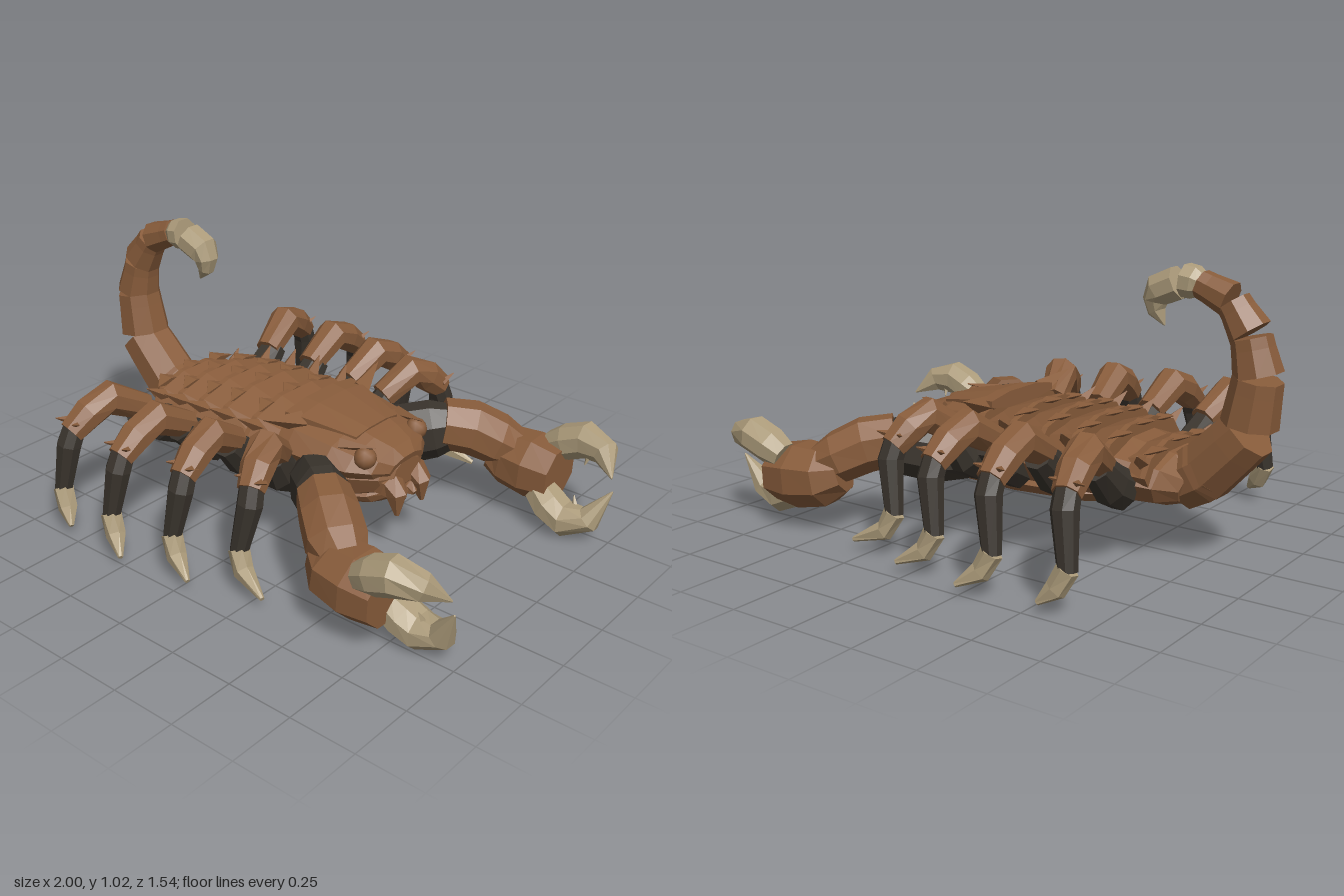
import * as THREE from 'three';

const X = new THREE.Vector3(1, 0, 0), Y = new THREE.Vector3(0, 1, 0), Z = new THREE.Vector3(0, 0, 1);

export function createModel() {
  const model = new THREE.Group();
  model.name = 'scorpion';
  const paint = (name, color) => {
    const m = new THREE.MeshStandardMaterial({ color });
    m.name = name;
    return m;
  };
  const brown = paint('brownShell', 0x885c3b);
  const dark = paint('darkJoint', 0x3a342d);
  const bone = paint('boneClaw', 0xad9c7b);

  // Faceted loft through points [x, y, z, half size along ref, other half size]
  function loft(name, mat, pts, ref, sides = 8, phase = Math.PI / sides) {
    const P = pts.map(p => new THREE.Vector3(p[0], p[1], p[2]));
    const pos = [], idx = [], n = P.length, grow = 1 / Math.cos(phase);
    P.forEach((p, i) => {
      const t = P[Math.min(i + 1, n - 1)].clone().sub(P[Math.max(i - 1, 0)]).normalize();
      const u = ref.clone().addScaledVector(t, -t.dot(ref)).normalize();
      const v = t.clone().cross(u);
      const a = pts[i][3] * grow, b = (pts[i][4] ?? pts[i][3]) * grow;
      for (let j = 0; j < sides; j++) {
        const th = phase + (j / sides) * Math.PI * 2;
        const q = p.clone().addScaledVector(u, a * Math.cos(th)).addScaledVector(v, b * Math.sin(th));
        pos.push(q.x, q.y, q.z);
      }
    });
    for (let i = 0; i < n - 1; i++) {
      for (let j = 0; j < sides; j++) {
        const k = (j + 1) % sides, a = i * sides + j, b = i * sides + k;
        idx.push(a, b, b + sides, a, b + sides, a + sides);
      }
    }
    for (let j = 1; j < sides - 1; j++) {
      const e = (n - 1) * sides;
      idx.push(0, j + 1, j, e, e + j, e + j + 1);
    }
    let g = new THREE.BufferGeometry();
    g.setAttribute('position', new THREE.Float32BufferAttribute(pos, 3));
    g.setIndex(idx);
    g = g.toNonIndexed();
    g.computeVertexNormals();
    const mesh = new THREE.Mesh(g, mat);
    mesh.name = name;
    model.add(mesh);
  }
  // Four-sided thorn, r along ref and r2 across
  const spike = (name, mat, base, tip, ref, r, r2 = r) =>
    loft(name, mat, [[...base, r, r2], [...tip, 0.002]], ref, 4, 0);
  const lerp = THREE.MathUtils.lerp;

  // Trunk and belly
  loft('body', brown, [
    [-0.7, 0.27, 0, 0.12, 0.07], [-0.64, 0.29, 0, 0.20, 0.10], [-0.45, 0.31, 0, 0.255, 0.125],
    [-0.1, 0.315, 0, 0.262, 0.13], [0.15, 0.315, 0, 0.245, 0.13], [0.32, 0.32, 0, 0.19, 0.12],
    [0.41, 0.32, 0, 0.13, 0.085], [0.44, 0.32, 0, 0.08, 0.05],
  ], Z, 10, 0);
  loft('belly', brown, [
    [-0.52, 0.22, 0, 0.08, 0.03], [-0.35, 0.215, 0, 0.18, 0.06], [-0.05, 0.213, 0, 0.21, 0.068],
    [0.2, 0.213, 0, 0.19, 0.065], [0.35, 0.23, 0, 0.12, 0.05], [0.43, 0.26, 0, 0.05, 0.03],
  ], Z, 10, 0);

  // Tilted back plates [rear x, half width, top] with a toothed rear edge
  const plates = [[-0.63, 0.225, 0.43], [-0.49, 0.265, 0.465], [-0.365, 0.28, 0.48],
    [-0.24, 0.28, 0.488], [-0.1, 0.275, 0.488]];
  for (const [x, w, top] of plates) {
    const cy = top - 0.1;
    loft('backPlate', brown, [[x, cy, 0, w, 0.105], [x + 0.02, cy, 0, w, 0.105],
      [x + 0.17, cy - 0.005, 0, w - 0.025, 0.06]], Z, 10, 0);
    for (const s of [-1, 1]) {
      spike('sideSpike', brown, [x + 0.035, cy + 0.03, s * (w - 0.05)], [x + 0.01, cy + 0.085, s * (w + 0.035)], X, 0.035, 0.028);
      spike('rearTooth', brown, [x + 0.02, top - 0.023, s * 0.14], [x - 0.04, top - 0.008, s * 0.14], Z, 0.07, 0.016);
    }
    spike('rearTooth', brown, [x + 0.02, top - 0.01, 0], [x - 0.045, top + 0.005, 0], Z, 0.075, 0.016);
  }

  // Head shield
  loft('headShield', brown, [
    [0.04, 0.385, 0, 0.265, 0.12], [0.09, 0.385, 0, 0.265, 0.118], [0.25, 0.375, 0, 0.247, 0.1],
    [0.33, 0.365, 0, 0.22, 0.085], [0.4, 0.355, 0, 0.16, 0.07], [0.435, 0.345, 0, 0.1, 0.045],
  ], Z, 10, 0);
  loft('shieldRidge', brown, [[0.03, 0.483, 0, 0.19, 0.03], [0.09, 0.48, 0, 0.18, 0.028],
    [0.3, 0.445, 0, 0.12, 0.02]], Z);

  // Tail rings: start centre, end centre, start and end radius
  const rings = [
    [-0.65, 0.27, -0.76, 0.34, 0.095, 0.1], [-0.73, 0.315, -0.897, 0.485, 0.102, 0.093],
    [-0.895, 0.51, -0.92, 0.67, 0.092, 0.08], [-0.92, 0.68, -0.89, 0.805, 0.08, 0.066],
    [-0.885, 0.82, -0.82, 0.915, 0.07, 0.055], [-0.81, 0.922, -0.7, 0.965, 0.058, 0.047],
  ];
  for (const [x0, y0, x1, y1, r0, r1] of rings) {
    loft('tailRing', brown, [[x0, y0, 0, r0], [lerp(x0, x1, 0.7), lerp(y0, y1, 0.7), 0, r1 * 1.04],
      [x1, y1, 0, r1]], Z);
  }
  loft('stingerCollar', bone, [[-0.7, 0.962, 0, 0.042], [-0.68, 0.967, 0, 0.054], [-0.64, 0.972, 0, 0.056]], Z);
  loft('stinger', bone, [[-0.618, 0.962, 0, 0.056, 0.056], [-0.545, 0.93, 0, 0.056, 0.056],
    [-0.528, 0.895, 0, 0.046, 0.04], [-0.533, 0.855, 0, 0.032, 0.028], [-0.565, 0.81, 0, 0.003]], Z);

  // Legs: hip x, brown start [x, z], knee [x, z], foot tip [x, z]
  const legs = [
    [-0.53, -0.54, 0.36, -0.605, 0.655, -0.54, 0.745], [-0.3, -0.31, 0.36, -0.325, 0.67, -0.24, 0.775],
    [-0.1, -0.09, 0.34, -0.055, 0.63, 0.05, 0.73], [0.08, 0.1, 0.31, 0.19, 0.55, 0.32, 0.645],
  ];
  for (const s of [-1, 1]) {
    for (const [hx, ax, az, kx, kz, tx, tz] of legs) {
      const at = (f, y, r) => [lerp(ax, kx, f), y, s * lerp(az, kz, f), r];
      const ankle = [kx - 0.03, s * (kz + 0.035)];
      loft('legHip', dark, [[hx, 0.27, s * 0.2, 0.055, 0.07], [hx, 0.31, s * 0.28, 0.06, 0.07],
        [ax, 0.4, s * (az + 0.03), 0.048, 0.05]], X);
      loft('upperLeg', brown, [at(-0.03, 0.4, 0.048), at(0.46, 0.48, 0.06), at(0.75, 0.442, 0.057),
        at(1, 0.385, 0.046)], X);
      loft('lowerLeg', dark, [at(0.95, 0.4, 0.042), at(1.04, 0.34, 0.044),
        [ankle[0], 0.15, ankle[1], 0.031]], X);
      loft('foot', bone, [[ankle[0], 0.16, ankle[1], 0.034],
        [kx + 0.005, 0.09, s * (kz + 0.05), 0.033, 0.03], [tx - 0.01, 0.045, s * (tz - 0.01), 0.008]], X, 6);
      for (const d of [-1, 1]) {
        spike('kneeSpike', brown, [kx + d * 0.03, 0.415, s * (kz - 0.03)], [kx + d * 0.045, 0.44, s * (kz + 0.03)], X, 0.018);
      }
    }

    // Pincer arm
    loft('armJoint', dark, [[0.13, 0.27, s * 0.18, 0.075, 0.07], [0.22, 0.292, s * 0.25, 0.11, 0.088],
      [0.32, 0.32, s * 0.33, 0.105, 0.09], [0.38, 0.335, s * 0.375, 0.08, 0.07]], Y);
    loft('forearm', brown, [[0.345, 0.342, s * 0.355, 0.09, 0.092], [0.43, 0.325, s * 0.425, 0.096, 0.1],
      [0.51, 0.28, s * 0.485, 0.09, 0.103], [0.57, 0.25, s * 0.52, 0.07, 0.08]], Y);
    loft('palm', brown, [[0.48, 0.23, s * 0.495, 0.07, 0.08], [0.54, 0.21, s * 0.52, 0.105, 0.112],
      [0.65, 0.2, s * 0.527, 0.118, 0.124], [0.76, 0.195, s * 0.53, 0.1, 0.108]], Y);
    loft('upperFinger', bone, [[0.69, 0.275, s * 0.585, 0.05, 0.05], [0.75, 0.305, s * 0.59, 0.064, 0.064],
      [0.83, 0.337, s * 0.594, 0.063, 0.066], [0.92, 0.322, s * 0.57, 0.045, 0.05],
      [0.985, 0.265, s * 0.505, 0.003]], Z);
    loft('lowerFinger', bone, [[0.71, 0.14, s * 0.475, 0.06, 0.055], [0.77, 0.098, s * 0.463, 0.073, 0.063],
      [0.84, 0.066, s * 0.456, 0.071, 0.062], [0.93, 0.095, s * 0.466, 0.048, 0.046],
      [0.995, 0.215, s * 0.503, 0.003]], Z);
    spike('upperTooth', bone, [0.86, 0.31, s * 0.57], [0.85, 0.255, s * 0.55], X, 0.018);
    spike('lowerTooth', bone, [0.87, 0.1, s * 0.47], [0.85, 0.155, s * 0.49], X, 0.018);

    // Face: shield horns, eyes, brows and mouthparts
    spike('shieldHorn', brown, [0.08, 0.465, s * 0.17], [0.05, 0.52, s * 0.33], X, 0.045, 0.04);
    const eye = new THREE.Mesh(new THREE.IcosahedronGeometry(0.042, 1), brown);
    eye.name = 'eye';
    eye.position.set(0.365, 0.405, s * 0.15);
    model.add(eye);
    spike('brow', brown, [0.27, 0.435, s * 0.17], [0.4, 0.45, s * 0.14], Y, 0.025);
    loft('mouthpart', brown, [[0.35, 0.29, s * 0.068, 0.055, 0.045], [0.42, 0.285, s * 0.068, 0.05, 0.042],
      [0.45, 0.255, s * 0.07, 0.036], [0.455, 0.175, s * 0.075, 0.008]], Z, 6);
    loft('innerJaw', brown, [[0.37, 0.24, s * 0.03, 0.03], [0.43, 0.235, s * 0.035, 0.028],
      [0.455, 0.22, s * 0.03, 0.01]], Z, 6);
  }
  return model;
}
